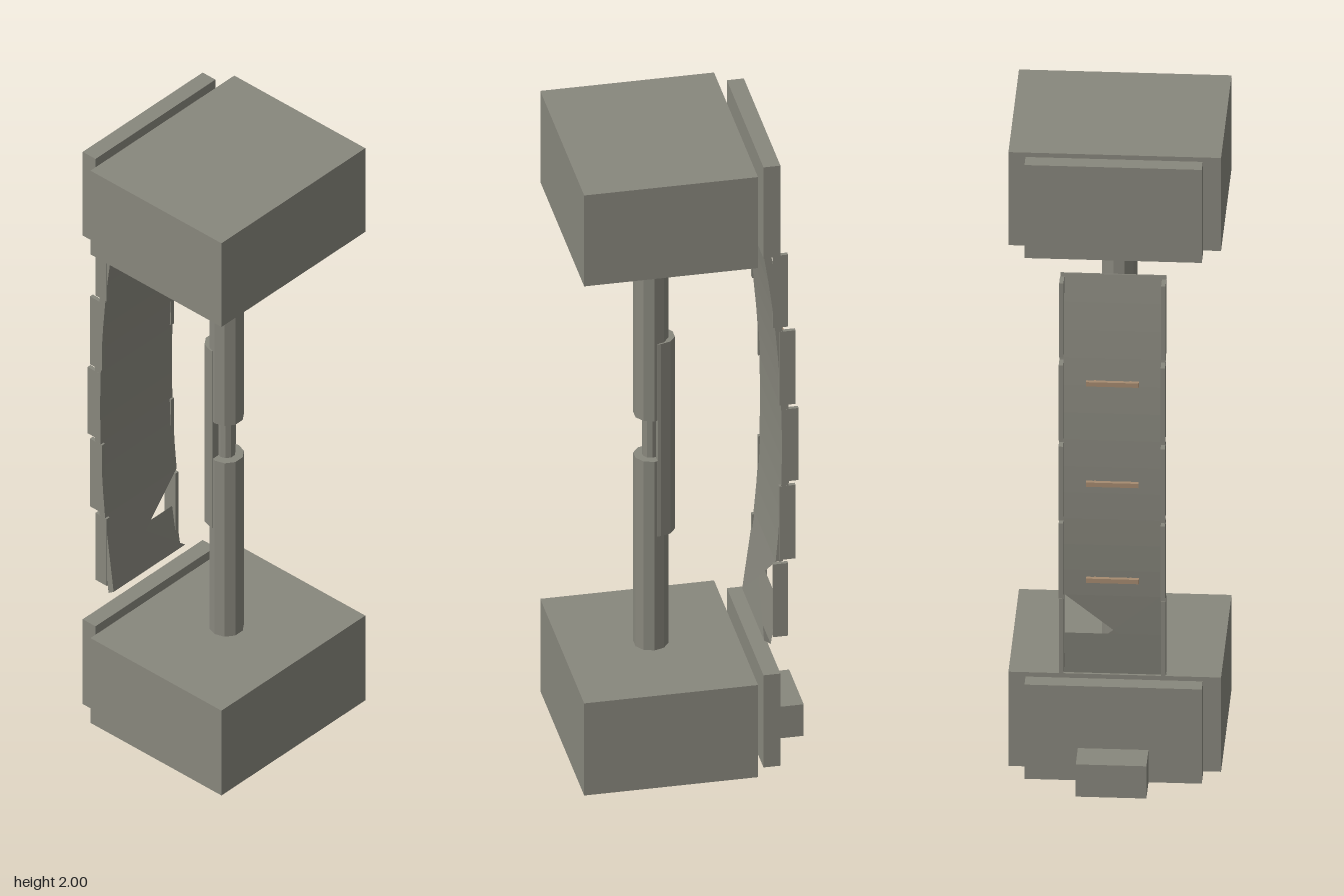
import * as THREE from 'three';

const grey = new THREE.MeshStandardMaterial({ color: 0x88877d });
grey.name = 'stone grey';
const greyOpen = grey.clone();
greyOpen.side = THREE.DoubleSide;
const tan = new THREE.MeshStandardMaterial({ color: 0xa68b70 });
tan.name = 'tan';

const W = 0.153;      // half width of the curved panel
const THICK = 0.022;  // panel thickness
const TORN = 0.62;    // height where the damaged section starts
const front = y => -0.27 + 0.053 * ((y - 1) / 0.64) ** 2;
const back = y => front(y) - THICK;

export function createModel() {
  const model = new THREE.Group();

  const add = (name, geo, mat = grey) => {
    const mesh = new THREE.Mesh(geo, mat);
    mesh.name = name;
    model.add(mesh);
    return mesh;
  };
  // Box given by its limits on each axis
  const box = (name, x0, x1, y0, y1, z0, z1, mat) => {
    const geo = new THREE.BoxGeometry(x1 - x0, y1 - y0, z1 - z0);
    geo.translate((x0 + x1) / 2, (y0 + y1) / 2, (z0 + z1) / 2);
    return add(name, geo, mat);
  };

  // Top and bottom blocks with their back plates
  for (const [label, y0, y1] of [['bottom', 0, 0.307], ['top', 1.697, 2]]) {
    box(label + 'Block', -0.307, 0.307, y0, y1, -0.167, 0.345);
    box(label + 'BackPlate', -0.256, 0.256, y0, y1, -0.244, -0.194);
  }
  box('step', -0.102, 0.102, 0, 0.105, -0.345, -0.244);

  // Ten-sided pole with a narrow core in the middle
  const pole = (name, r, y0, y1) => {
    let geo = new THREE.CylinderGeometry(r, r, y1 - y0, 10);
    geo.rotateY(Math.PI / 10);
    geo.translate(0, (y0 + y1) / 2, 0.084);
    geo = geo.toNonIndexed();
    geo.computeVertexNormals();
    add(name, geo);
  };
  pole('lowerPole', 0.051, 0.307, 0.935);
  pole('poleCore', 0.026, 0.935, 1.07);
  pole('upperPole', 0.051, 1.07, 1.697);

  // Half-round sleeve behind the pole
  const half = [new THREE.Vector2(0.05, -0.074)];
  for (const a of [0, 36, 72, 108, 144, 180]) {
    const t = THREE.MathUtils.degToRad(a);
    half.push(new THREE.Vector2(0.05 * Math.cos(t), -0.064 + 0.05 * Math.sin(t)));
  }
  half.push(new THREE.Vector2(-0.05, -0.074));
  const sleeve = new THREE.ExtrudeGeometry(new THREE.Shape(half), { depth: 0.64, bevelEnabled: false });
  sleeve.rotateX(-Math.PI / 2);
  sleeve.translate(0, 0.685, 0);
  add('poleSleeve', sleeve);

  // Curved panel above the damaged section
  const outline = [];
  const N = 12;
  for (let i = 0; i <= N; i++) {
    const y = TORN + (1.64 - TORN) * i / N;
    outline.push(new THREE.Vector2(-front(y), y));
  }
  for (let i = N; i >= 0; i--) {
    const y = TORN + (1.648 - TORN) * i / N;
    outline.push(new THREE.Vector2(-back(y), y));
  }
  const panel = new THREE.ExtrudeGeometry(new THREE.Shape(outline), { depth: 2 * W, bevelEnabled: false });
  panel.rotateY(Math.PI / 2);
  panel.translate(-W, 0, 0);
  add('curvedPanel', panel);

  // Damaged lower section: one triangle of the front and the upper back are missing
  const F = (x, y) => [x, y, front(y)];
  const B = (x, y) => [x, y, back(y)];
  const faces = (name, tris) => {
    const geo = new THREE.BufferGeometry();
    geo.setAttribute('position', new THREE.Float32BufferAttribute(tris.flat(2), 3));
    geo.computeVertexNormals();
    add(name, geo, greyOpen);
  };
  const quad = (a, b, c, d) => [[a, b, c], [a, c, d]];
  const lowF = 0.362, lowB = 0.348, mid = 0.488;
  const tl = F(-W, TORN), tr = F(W, TORN), bl = F(-W, lowF), br = F(W, lowF);
  const centre = [0, mid, (front(TORN) + front(lowF)) / 2];
  faces('tornFront', [[centre, tr, tl], [centre, tl, bl], [centre, bl, br]]);
  faces('tornBack', quad(B(W, lowB), B(-W, lowB), B(-W, mid), B(W, mid)));
  faces('tornBottomEdge', quad(bl, B(-W, lowB), B(W, lowB), br));
  faces('tornSide', quad(tl, B(-W, TORN), B(-W, lowB), bl));

  // Stepped side rails in five pieces
  const rails = [
    [0.37, 0.612, -0.288, -0.244], [0.625, 0.87, -0.31, -0.262], [0.885, 1.125, -0.319, -0.27],
    [1.14, 1.385, -0.31, -0.262], [1.4, 1.64, -0.288, -0.244],
  ];
  for (const [y0, y1, z0, z1] of rails) {
    box('rightRail', -W - 0.0005, -0.141, y0, y1, z0, z1);
    box('leftRail', 0.141, W + 0.0005, y0, y1, z0, z1);
  }

  // Three rungs with small stand-offs on the back
  for (const y of [0.68, 1, 1.32]) {
    const z = back(y);
    box('rung', -0.077, 0.075, y - 0.007, y + 0.007, z - 0.02, z - 0.008, tan);
    for (const x of [-0.052, 0.05]) {
      box('rungMount', x - 0.003, x + 0.003, y - 0.004, y + 0.004, z - 0.009, z + 0.004, tan);
    }
  }
  return model;
}
